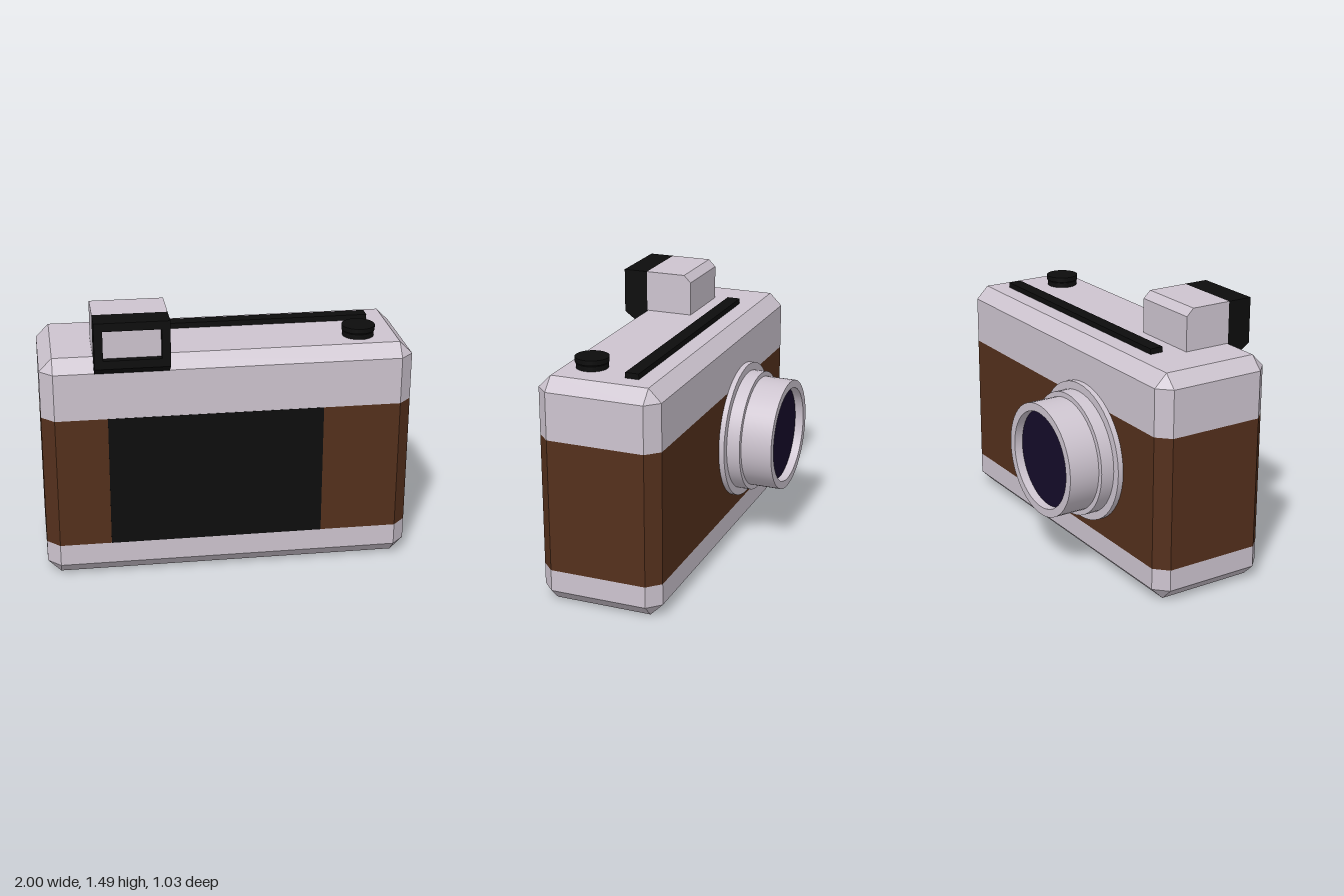
import * as THREE from 'three';

const mat = (color, extra = {}) => new THREE.MeshStandardMaterial({ color, ...extra });
const silver = mat(0xcdc4cf, { flatShading: true });
const silverSmooth = mat(0xcdc4cf);
const leather = mat(0x54301c, { flatShading: true });
const black = mat(0x0d0d0d, { flatShading: true });
const glass = mat(0x150b2a);

// Eight-sided outline of the body, pulled in by `inset` and with corners cut by `cut`
function outline(y, inset, cut) {
  const x = 1 - inset, z = 0.34 - inset, cz = 0.1, pts = [];
  for (const [sx, sz] of [[1, 1], [-1, 1], [-1, -1], [1, -1]]) {
    const a = [sx * x, y, cz + sz * (z - cut)];
    const b = [sx * (x - cut), y, cz + sz * z];
    pts.push(...(sx * sz > 0 ? [a, b] : [b, a]));
  }
  return pts;
}

// Skin a stack of outlines, bottom to top, with both ends closed
function loft(rings) {
  const pos = [], n = rings[0].length;
  for (let r = 0; r < rings.length - 1; r++) {
    for (let i = 0; i < n; i++) {
      const j = (i + 1) % n;
      const a = rings[r][i], b = rings[r][j], c = rings[r + 1][j], d = rings[r + 1][i];
      pos.push(...a, ...d, ...c, ...a, ...c, ...b);
    }
  }
  const low = rings[0], top = rings[rings.length - 1];
  for (let i = 1; i < n - 1; i++) {
    pos.push(...low[0], ...low[i], ...low[i + 1], ...top[0], ...top[i + 1], ...top[i]);
  }
  const g = new THREE.BufferGeometry();
  g.setAttribute('position', new THREE.Float32BufferAttribute(pos, 3));
  g.computeVertexNormals();
  return g;
}

// Extrude a side profile of [z, y] points across x
function sideExtrude(points, xMin, xMax) {
  const shape = new THREE.Shape(points.map(p => new THREE.Vector2(...p)));
  const g = new THREE.ExtrudeGeometry(shape, { depth: xMax - xMin, bevelEnabled: false });
  return g.rotateY(-Math.PI / 2).translate(xMax, 0, 0);
}

function rect(target, x0, y0, x1, y1) {
  return target.moveTo(x0, y0).lineTo(x1, y0).lineTo(x1, y1).lineTo(x0, y1).closePath();
}

// Lathe with crisp edges: each profile segment is its own smooth band
function steppedLathe(profile, material, name) {
  const group = new THREE.Group();
  group.name = name;
  for (let i = 0; i < profile.length - 1; i++) {
    const seg = [profile[i], profile[i + 1]].map(p => new THREE.Vector2(...p));
    const band = new THREE.Mesh(new THREE.LatheGeometry(seg, 48), material);
    band.name = name + 'Band' + i;
    group.add(band);
  }
  return group;
}

export function createModel() {
  const model = new THREE.Group();
  model.name = 'camera';
  const add = (name, geometry, material) => {
    const mesh = new THREE.Mesh(geometry, material);
    mesh.name = name;
    model.add(mesh);
    return mesh;
  };

  // Chamfered body in three bands
  const c = 0.07;
  add('bottomPlate', loft([outline(0, c, 0), outline(c, 0, c), outline(0.19, 0, c)]), silver);
  add('leatherBand', loft([outline(0.19, 0, c), outline(0.925, 0, c)]), leather);
  add('topPlate', loft([outline(0.925, 0, c), outline(1.185, 0, c), outline(1.255, c, 0)]), silver);

  // Black film door
  add('filmDoor', new THREE.BoxGeometry(1.16, 0.735, 0.02).translate(-0.07, 0.5575, 0.432), black);

  // Accessory rail on top
  add('topRail', new THREE.BoxGeometry(1.48, 0.05, 0.075).translate(0.09, 1.26, -0.037), black);

  // Shutter button with a groove round its waist
  const button = steppedLathe(
    [[0.085, 0], [0.085, 0.027], [0.078, 0.027], [0.078, 0.033], [0.09, 0.033], [0.09, 0.06], [0, 0.06]],
    mat(0x0d0d0d), 'shutterButton');
  button.position.set(0.73, 1.255, 0.23);
  model.add(button);

  // Viewfinder housing and its eyepiece
  const x0 = -0.715, x1 = -0.32;
  add('viewfinderHousing', sideExtrude(
    [[0.105, 1.2], [0.375, 1.2], [0.375, 1.485], [0.145, 1.485], [0.105, 1.445]], x0, x1), silver);
  add('eyepieceBody', sideExtrude(
    [[0.375, 1.255], [0.445, 1.185], [0.515, 1.235], [0.475, 1.235], [0.475, 1.485], [0.375, 1.485]],
    x0, x1), black);
  const frame = rect(new THREE.Shape(), x0, 1.235, x1, 1.485);
  frame.holes.push(rect(new THREE.Path(), -0.67, 1.28, -0.365, 1.44));
  add('eyepieceFrame', new THREE.ExtrudeGeometry(frame, { depth: 0.04, bevelEnabled: false })
    .translate(0, 0, 0.475), black);
  add('eyepieceWindow', new THREE.PlaneGeometry(0.305, 0.16).translate(-0.5175, 1.36, 0.477), silverSmooth);

  // Stepped lens barrel, hollow at its mouth
  const lens = steppedLathe(
    [[0.387, 0], [0.387, 0.03], [0.343, 0.03], [0.343, 0.105], [0.315, 0.105],
      [0.315, 0.28], [0.27, 0.28], [0.27, 0.23]],
    silverSmooth, 'lensBarrel');
  const lensGlass = new THREE.Mesh(new THREE.CircleGeometry(0.27, 48).rotateX(-Math.PI / 2), glass);
  lensGlass.name = 'lensGlass';
  lensGlass.position.y = 0.232;
  lens.add(lensGlass);
  lens.rotation.x = -Math.PI / 2;
  lens.position.set(-0.266, 0.63, -0.24);
  model.add(lens);

  return model;
}
